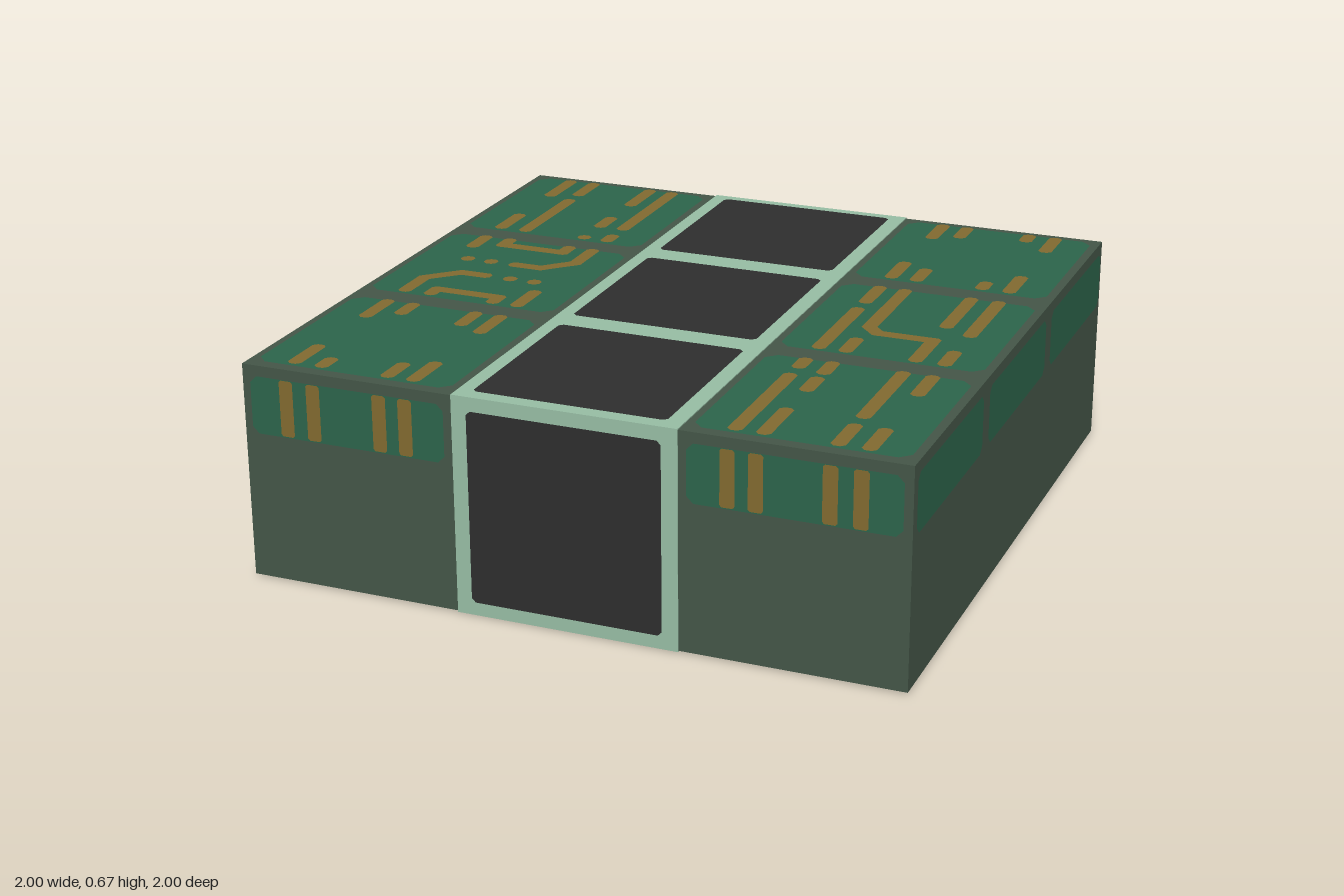
import * as THREE from 'three';
import { mergeGeometries } from 'three/addons/utils/BufferGeometryUtils.js';

const material = (name, color) => Object.assign(new THREE.MeshStandardMaterial({ color }), { name });
const H = 0.668;          // total height
const CELL = 0.667;       // distance between neighbouring panels
const TRACE = 0.043;      // trace width
const STEP = 0.003;       // height of each painted layer

// Straight runs on the top: column x -> [from z, to z, ...]
const RUNS = [
  [-0.856, [-0.96, -0.76, -0.55, -0.38, 0.13, 0.29, 0.37, 0.54, 0.79, 0.955, -0.30, -0.17]],
  [-0.77, [-0.96, -0.80, -0.76, -0.38, -0.30, -0.21, 0.21, 0.29, 0.37, 0.48, 0.87, 0.955]],
  [-0.561, [-0.96, -0.76, -0.63, -0.51, -0.42, -0.38, -0.30, -0.21, 0.21, 0.29, 0.37, 0.50, 0.83, 0.955]],
  [-0.48, [-0.96, -0.51, -0.46, -0.38, -0.30, -0.13, 0.13, 0.29, 0.37, 0.54, 0.79, 0.955]],
  [0.48, [-0.96, -0.80, -0.55, -0.38, -0.30, -0.13, -0.09, 0.29, 0.37, 0.46, 0.50, 0.955]],
  [0.561, [-0.96, -0.84, -0.51, -0.38, -0.30, 0.08, 0.16, 0.29, 0.37, 0.48, 0.50, 0.62, 0.75, 0.955]],
  [0.77, [-0.96, -0.88, -0.46, -0.38, -0.30, -0.01, 0.08, 0.29, 0.37, 0.75, 0.79, 0.955]],
  [0.856, [-0.96, -0.80, -0.55, -0.38, -0.30, 0.04, 0.16, 0.29, 0.37, 0.54, 0.79, 0.955]],
];
// Bent traces and dots on the top: centre lines as [x, z] points
const PATHS = [
  [[-0.77, -0.232], [-0.561, -0.232]],
  [[-0.48, -0.15], [-0.522, -0.108], [-0.561, -0.067], [-0.647, -0.067]],
  [[-0.813, -0.067]], [[-0.732, -0.067]],
  [[-0.69, 0.062], [-0.77, 0.062], [-0.813, 0.104], [-0.856, 0.147]],
  [[-0.604, 0.062]], [[-0.522, 0.062]],
  [[-0.77, 0.23], [-0.561, 0.23]],
  [[0.561, 0.06], [0.60, 0.102], [0.77, 0.102]],
];

// Flat rectangle with cut corners, centred on (x, y)
function plate(x, y, w, h, cut, angle = 0) {
  const a = w / 2, b = h / 2, c = cut;
  const corners = [[a - c, -b], [a, c - b], [a, b - c], [a - c, b], [c - a, b], [-a, b - c], [-a, c - b], [c - a, -b]];
  const g = new THREE.ShapeGeometry(new THREE.Shape(corners.map(p => new THREE.Vector2(...p))));
  return g.rotateZ(angle).translate(x, y, 0);
}

// Trace between two points, with blunt ends
function trace(p, q) {
  const dx = q[0] - p[0], dy = q[1] - p[1];
  return plate((p[0] + q[0]) / 2, (p[1] + q[1]) / 2, Math.hypot(dx, dy) + TRACE, TRACE, 0.012, Math.atan2(dy, dx));
}

export function createModel() {
  const model = new THREE.Group();
  model.name = 'circuitBlock';
  const mats = {
    body: material('dark green grey', 0x435547),
    strip: material('pale green', 0x95bba2),
    window: material('charcoal', 0x2d2d2d),
    panel: material('circuit green', 0x2b634a),
    copper: material('copper', 0x80692f),
  };
  const add = (parent, geometry, mat, name, lift = 0) => {
    const mesh = new THREE.Mesh(geometry, mats[mat]);
    mesh.name = name;
    mesh.position.z = lift;
    parent.add(mesh);
    return mesh;
  };
  // Empty drawing plane lying on one side of the block
  const face = (name, pos, rx, ry) => {
    const g = new THREE.Group();
    g.name = name;
    g.position.set(...pos);
    g.rotation.set(rx, ry, 0);
    model.add(g);
    return g;
  };

  // Solid block and the pale strip running around its middle
  add(model, new THREE.BoxGeometry(2 - 2 * STEP, H - 4 * STEP, 2 - 4 * STEP), 'body', 'block').position.y = H / 2;
  add(model, new THREE.BoxGeometry(0.674, H - 2 * STEP, 2 - 2 * STEP), 'strip', 'centreStrip').position.y = H / 2;

  const thirds = [-CELL, 0, CELL];
  const windows = () => mergeGeometries(thirds.map(y => plate(0, y, 0.58, 0.58, 0.012)));

  // Top: windows, circuit panels and copper traces
  const top = face('top', [0, H, 0], -Math.PI / 2, 0);
  add(top, windows(), 'window', 'topWindows');
  const panels = [-1, 1].flatMap(s => thirds.map(y => plate(s * CELL, y, 0.61, 0.59, 0.03)));
  add(top, mergeGeometries(panels), 'panel', 'topPanels', -STEP);
  const traces = [];
  for (const [x, ends] of RUNS) {
    for (let i = 0; i < ends.length; i += 2) {
      traces.push(plate(x, -(ends[i] + ends[i + 1]) / 2, TRACE, ends[i + 1] - ends[i], 0.012));
    }
  }
  for (const path of PATHS) {
    const pts = path.map(([x, z]) => [x, -z]);
    if (pts.length === 1) traces.push(trace(pts[0], pts[0]));
    for (let i = 1; i < pts.length; i++) traces.push(trace(pts[i - 1], pts[i]));
  }
  add(top, mergeGeometries(traces), 'copper', 'topTraces');

  // Bottom: windows only
  add(face('bottom', [0, 0, 0], Math.PI / 2, 0), windows(), 'window', 'bottomWindows');

  // Front and back: one window, two panels with short traces
  for (const [name, s] of [['front', 1], ['back', -1]]) {
    const f = face(name, [0, 0, s], 0, s > 0 ? 0 : Math.PI);
    add(f, plate(0, H / 2, 0.58, 0.58, 0.012), 'window', name + 'Window');
    add(f, mergeGeometries([-CELL, CELL].map(x => plate(x, 0.543, 0.61, 0.175, 0.02))), 'panel', name + 'Panels', -STEP);
    add(f, mergeGeometries(RUNS.map(([x]) => plate(x, 0.545, TRACE, 0.17, 0.006))), 'copper', name + 'Traces');
  }

  // Left and right: three plain panels
  for (const [name, s] of [['left', 1], ['right', -1]]) {
    const f = face(name, [s, 0, 0], 0, s * Math.PI / 2);
    add(f, mergeGeometries(thirds.map(x => plate(x, 0.543, 0.605, 0.175, 0.02))), 'panel', name + 'Panels');
  }
  return model;
}
